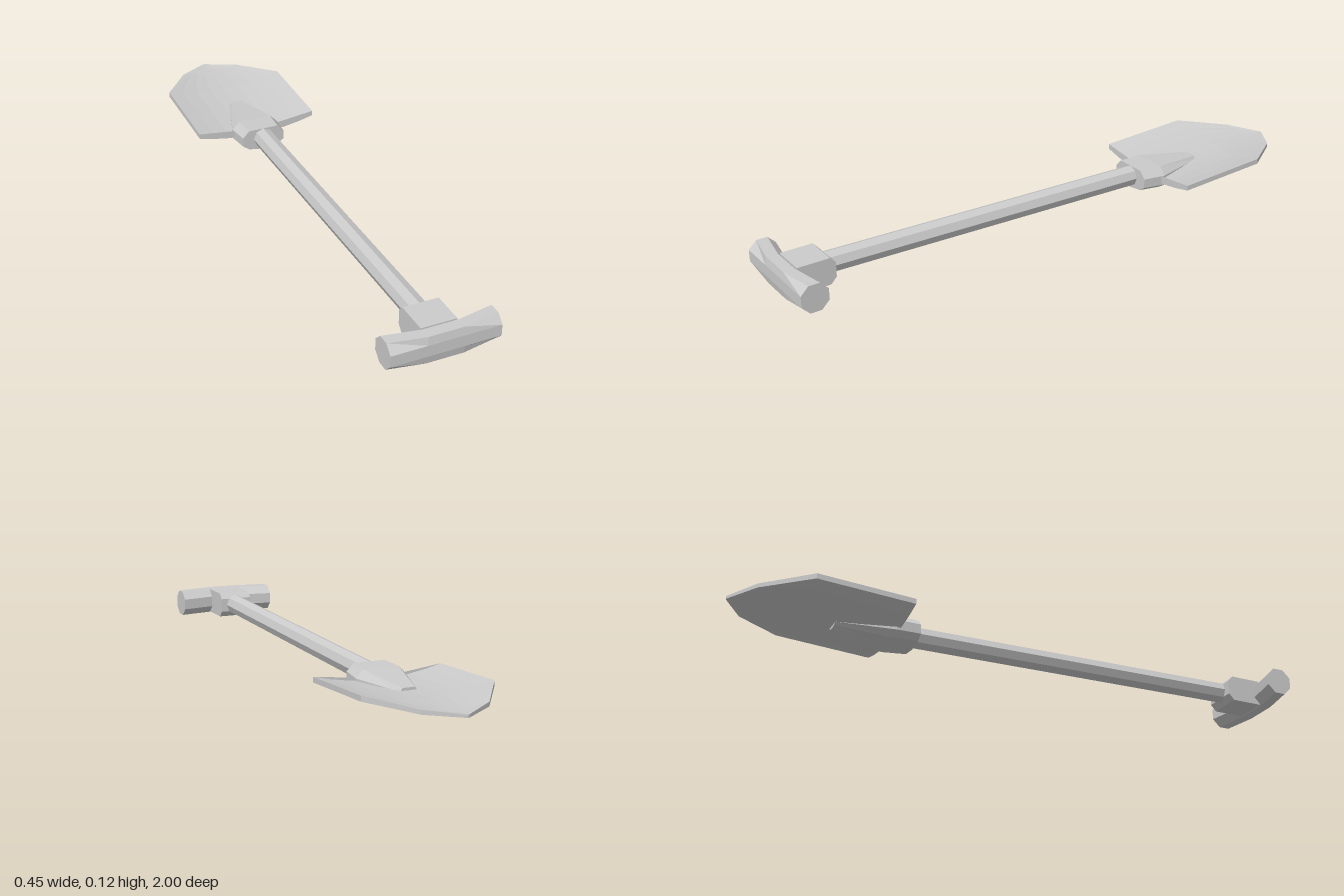
import * as THREE from 'three';

const material = new THREE.MeshStandardMaterial({ color: 0xcccccc, flatShading: true });

// Closed solid through rings of [x, y, z] points, each counter-clockwise about the loft direction
function loft(name, rings) {
  const n = rings[0].length;
  const pos = [];
  const tri = (a, b, c) => pos.push(...a, ...b, ...c);
  for (let r = 0; r < rings.length - 1; r++) {
    const a = rings[r], b = rings[r + 1];
    for (let i = 0; i < n; i++) {
      const j = (i + 1) % n;
      tri(a[i], a[j], b[j]);
      tri(a[i], b[j], b[i]);
    }
  }
  // end caps
  const first = rings[0], last = rings[rings.length - 1];
  const middle = ring => [0, 1, 2].map(k => ring.reduce((s, p) => s + p[k], 0) / n);
  const m0 = middle(first), m1 = middle(last);
  for (let i = 0; i < n; i++) {
    const j = (i + 1) % n;
    tri(m0, first[j], first[i]);
    tri(m1, last[i], last[j]);
  }
  const geometry = new THREE.BufferGeometry();
  geometry.setAttribute('position', new THREE.Float32BufferAttribute(pos, 3));
  geometry.computeVertexNormals();
  const mesh = new THREE.Mesh(geometry, material);
  mesh.name = name;
  return mesh;
}

// Dished blade: bottom points left to right, then top points right to left
function bladeRing([z, halfWidth, edgeY, dish, thickness]) {
  const steps = [-1, -0.75, -0.5, -0.25, 0, 0.25, 0.5, 0.75, 1];
  const top = steps.map(t => [t * halfWidth, edgeY - dish * (1 - t * t), z]);
  const bottom = top.map(([x, y]) => [x, y - thickness, z]);
  return [...bottom, ...top.reverse()];
}

// Socket section with a flat top, bevelled sides and a shallow keel
function socketRing([z, cx, w, low, high]) {
  const h = high - low;
  const right = [[0.7 * w, low + 0.1 * h], [w, low + 0.3 * h], [w, low + 0.7 * h], [0.7 * w, high]];
  const left = right.map(([x, y]) => [-x, y]).reverse();
  return [[0, low], ...right, ...left].map(([x, y]) => [cx + x, y, z]);
}

// Octagonal grip section; the back is pulled forward by "pinch"
function gripRing(x, pinch) {
  const r = 0.0465 / Math.cos(Math.PI / 8);
  return Array.from({ length: 8 }, (_, i) => {
    const a = (i + 0.5) * Math.PI / 4;
    const dz = r * Math.sin(a);
    return [x, 0.0685 + r * Math.cos(a), 0.9535 + dz + (dz < 0.03 ? pinch : 0)];
  });
}

export function createModel() {
  const group = new THREE.Group();
  group.name = 'shovel';

  group.add(loft('blade', [
    [-1, 0.003, 0.07, 0, 0.01],
    [-0.93, 0.11, 0.078, 0.01, 0.014],
    [-0.775, 0.222, 0.095, 0.03, 0.018],
    [-0.447, 0.223, 0.078, 0.03, 0.018],
  ].map(bladeRing)));

  group.add(loft('socket', [
    [-0.65, 0, 0.03, 0.03, 0.068],
    [-0.46, -0.003, 0.087, 0, 0.088],
    [-0.375, -0.004, 0.079, 0.007, 0.09],
  ].map(socketRing)));

  // Octagonal shaft, slightly tilted from socket to grip
  const from = new THREE.Vector3(-0.004, 0.052, -0.42);
  const to = new THREE.Vector3(-0.013, 0.071, 0.86);
  const shaft = new THREE.Mesh(new THREE.CylinderGeometry(0.037, 0.037, from.distanceTo(to), 8), material);
  shaft.name = 'shaft';
  shaft.position.copy(from).lerp(to, 0.5);
  shaft.quaternion.setFromUnitVectors(new THREE.Vector3(0, 1, 0), to.clone().sub(from).normalize());
  group.add(shaft);

  // Block joining the shaft to the grip
  const profile = [[0.1145, 0.95], [0.023, 0.95], [0.023, 0.84], [0.045, 0.82], [0.095, 0.82], [0.1145, 0.838]];
  group.add(loft('gripBlock', [-0.074, 0.046].map(x => profile.map(([y, z]) => [x, y, z]))));

  group.add(loft('grip', [
    gripRing(-0.195, 0),
    gripRing(-0.074, 0.022),
    gripRing(0.046, 0.022),
    gripRing(0.168, 0),
  ]));

  return group;
}
